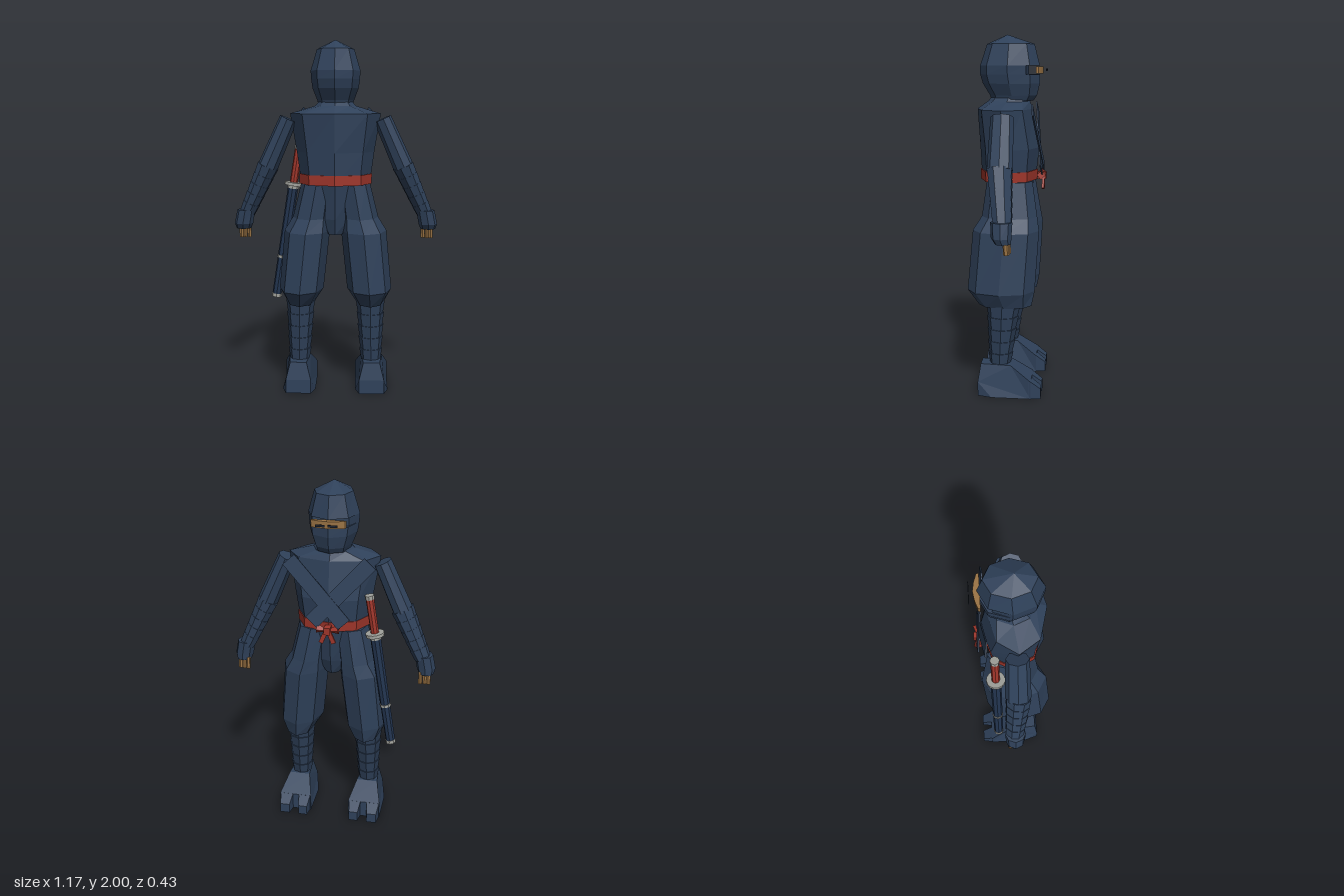
import * as THREE from 'three';

const mat = (name, color) => {
  const m = new THREE.MeshStandardMaterial({ color, flatShading: true });
  m.name = name;
  return m;
};

// Stacked eight-sided rings, bottom to top: [y, centreX, halfWidth, backZ, frontZ]
function loft(rings, clampZ = -Infinity, n = 8) {
  const pos = [], idx = [];
  const put = (x, y, z) => pos.push(x, y, z) / 3 - 1;
  for (const [y, cx, rx, zb, zf] of rings) {
    const mid = (zb + zf) / 2, rz = (zb - zf) / 2;
    for (let i = 0; i < n; i++) {
      const a = (i / n) * Math.PI * 2;
      put(cx + rx * Math.sin(a), y, Math.max(clampZ, mid + rz * Math.cos(a)));
    }
  }
  const last = rings.length - 1;
  const [lo, hi] = [rings[0], rings[last]].map((r) => put(r[1], r[0], (r[3] + Math.max(clampZ, r[4])) / 2));
  for (let i = 0; i < n; i++) {
    const j = (i + 1) % n;
    for (let k = 0; k < last; k++) {
      const a = k * n + i, b = k * n + j;
      idx.push(a, b, b + n, a, b + n, a + n);
    }
    idx.push(j, i, lo, last * n + i, last * n + j, hi);
  }
  const g = new THREE.BufferGeometry();
  g.setAttribute('position', new THREE.Float32BufferAttribute(pos, 3));
  g.setIndex(idx);
  const flat = g.toNonIndexed();
  flat.computeVertexNormals();
  return flat;
}

// Side profile in [z, y], extruded across x and centred on x = 0
function sideExtrude(points, width) {
  const s = new THREE.Shape(points.map((p) => new THREE.Vector2(...p)));
  return new THREE.ExtrudeGeometry(s, { depth: width, bevelEnabled: false })
    .translate(0, 0, -width / 2).rotateY(-Math.PI / 2);
}

export function createModel() {
  const root = new THREE.Group();
  root.name = 'warrior';
  const cloth = mat('navyCloth', 0x2f415a);
  const red = mat('redSash', 0xa0362b);
  const skin = mat('skin', 0x9a7344);
  const steel = mat('steel', 0xa3a49e);
  const lacquer = mat('sheathBlue', 0x22344f);
  const dark = mat('eyeDark', 0x1c2330);

  const add = (name, geo, m, parent = root) => {
    const mesh = new THREE.Mesh(geo, m);
    mesh.name = name;
    parent.add(mesh);
    return mesh;
  };
  const up = new THREE.Vector3(0, 1, 0);
  // Tapered rod from p to q
  const rod = (name, p, q, r1, r2, m, sides = 8, depth = 1, parent = root) => {
    const a = new THREE.Vector3(...p), b = new THREE.Vector3(...q), d = b.clone().sub(a);
    const mesh = add(name, new THREE.CylinderGeometry(r2, r1, d.length(), sides), m, parent);
    mesh.position.copy(a).add(b).multiplyScalar(0.5);
    mesh.quaternion.setFromUnitVectors(up, d.normalize());
    mesh.scale.z = depth;
    return mesh;
  };
  const mix = (p, q, t) => p.map((v, i) => v + (q[i] - v) * t);

  // Hood with an open eye slit
  add('mask', loft([[1.64, 0, 0.095, 0.1, -0.135], [1.67, 0, 0.105, 0.11, -0.155],
    [1.735, 0, 0.13, 0.15, -0.17], [1.785, 0, 0.137, 0.165, -0.17]]), cloth);
  add('hoodBack', loft([[1.785, 0, 0.137, 0.165, -0.17], [1.832, 0, 0.14, 0.165, -0.17]], -0.1), cloth);
  add('hoodTop', loft([[1.832, 0, 0.14, 0.165, -0.17], [1.95, 0, 0.105, 0.125, -0.14],
    [2.0, 0, 0.002, 0.012, 0.008]]), cloth);
  const faceOutline = [[-0.095, 0.155], [0.095, 0.155], [0.09, 0.168], [0.05, 0.182], [0, 0.19], [-0.05, 0.182], [-0.09, 0.168]];
  add('faceStrip', new THREE.ExtrudeGeometry(
    new THREE.Shape(faceOutline.map((p) => new THREE.Vector2(...p))), { depth: 0.038, bevelEnabled: false })
    .rotateX(-Math.PI / 2), skin).position.y = 1.79;

  // Torso and sash
  add('torso', loft([[1.2, 0, 0.195, 0.155, -0.15], [1.38, 0, 0.22, 0.165, -0.17],
    [1.595, 0, 0.255, 0.18, -0.135], [1.637, 0, 0.115, 0.12, -0.115], [1.66, 0, 0.095, 0.1, -0.11]]), cloth);
  add('sash', loft([[1.198, 0, 0.205, 0.163, -0.158], [1.255, 0, 0.207, 0.165, -0.162]]), red);
  add('pelvis', loft([[0.91, 0, 0.05, 0.07, -0.08], [1.0, 0, 0.11, 0.09, -0.11], [1.2, 0, 0.19, 0.12, -0.14]]), cloth);
  add('sashKnot', new THREE.BoxGeometry(0.035, 0.04, 0.05), red).position.set(0, 1.222, -0.185);

  for (const s of [1, -1]) {
    // Eyes
    add('eye', new THREE.BoxGeometry(0.05, 0.012, 0.004), dark).position.set(s * 0.033, 1.81, -0.21);

    // Crossed lapel, lying on the sloping chest
    const lapel = add('lapel', new THREE.BoxGeometry(0.085, 0.46, 0.008), cloth);
    lapel.position.set(s * 0.065, 1.43, -0.164 - (s > 0 ? 0.004 : 0));
    lapel.rotation.set(0.13, 0, -s * 0.74);

    // Bow loops and tails
    const loop = add('bowLoop', new THREE.CylinderGeometry(0.026, 0.01, 0.048, 4), red);
    loop.position.set(s * 0.036, 1.225, -0.185);
    loop.rotation.z = -s * 1.4;
    const tail = add('bowTail', new THREE.BoxGeometry(0.024, 0.07, 0.014), red);
    tail.position.set(s * 0.022, 1.183, -0.194);
    tail.rotation.z = s * 0.4;

    // Arm with wrapped forearm
    const arm = new THREE.Group();
    arm.name = s > 0 ? 'leftArm' : 'rightArm';
    root.add(arm);
    const shoulder = [s * 0.265, 1.565, 0.012], elbow = [s * 0.385, 1.295, 0.01], wrist = [s * 0.51, 1.025, -0.018];
    rod('upperArm', shoulder, elbow, 0.051, 0.058, cloth, 8, 1.2, arm);
    for (let i = 0; i < 5; i++) {
      rod('forearmWrap', mix(elbow, wrist, i / 5 - 0.02), mix(elbow, wrist, (i + 1) / 5),
        0.061 - i * 0.003, 0.055 - i * 0.003, cloth, 8, 1.18, arm);
    }
    add('hand', loft([[0.935, s * 0.532, 0.043, 0.02, -0.065], [0.965, s * 0.53, 0.053, 0.04, -0.066],
      [1.045, s * 0.515, 0.052, 0.045, -0.07]]), cloth, arm);
    for (const [x, z, r] of [[0.503, -0.048, 0.012], [0.527, -0.045, 0.012], [0.548, -0.042, 0.013]]) {
      rod('finger', [s * x, 0.88, z], [s * x, 0.95, z + 0.005], r, r, skin, 6, 1.2, arm);
    }

    // Baggy trouser leg
    const leg = new THREE.Group();
    leg.name = s > 0 ? 'leftLeg' : 'rightLeg';
    root.add(leg);
    add('trouserLeg', loft([[0.51, s * 0.2, 0.08, 0.15, -0.145], [0.595, s * 0.195, 0.127, 0.215, -0.162],
      [0.93, s * 0.162, 0.13, 0.188, -0.182], [1.005, s * 0.14, 0.105, 0.14, -0.17],
      [1.2, s * 0.105, 0.092, 0.115, -0.14]]), cloth, leg);

    // Wrapped shin in overlapping bands
    for (let i = 0; i < 5; i++) {
      const ring = (t, e) => [0.17 + 0.35 * t, s * (0.207 - 0.005 * t), 0.058 + 0.022 * t + e,
        0.09 + 0.014 * t + e, -0.03 - 0.05 * t - e];
      add('shinWrap', loft([ring(i / 5, -0.002), ring((i + 1) / 5, 0.004)]), cloth, leg);
    }

    // Split-toed shoe, narrowed towards the ankle and heel
    const foot = sideExtrude([[0.15, 0], [0.15, 0.08], [0.135, 0.18], [-0.035, 0.18], [-0.15, 0.1],
      [-0.15, 0], [0.07, 0]], 0.19);
    const p = foot.attributes.position;
    for (let i = 0; i < p.count; i++) {
      const y = p.getY(i), z = p.getZ(i);
      let k = y > 0.15 ? 0.65 : 1;
      if (z > 0.1) k *= 0.75;
      p.setX(i, p.getX(i) * k);
    }
    foot.computeVertexNormals();
    add('shoe', foot, cloth, leg).position.x = s * 0.21;
    for (const [x, w] of [[0.155, 0.072], [0.264, 0.078]]) {
      const toe = sideExtrude([[-0.14, 0], [-0.14, 0.107], [-0.205, 0.058], [-0.205, 0]], w);
      const q = toe.attributes.position;
      for (let i = 0; i < q.count; i++) if (q.getZ(i) < -0.2) q.setX(i, q.getX(i) * 0.72);
      toe.computeVertexNormals();
      add('toe', toe, cloth, leg).position.x = s * x;
    }
  }

  // Sheathed sword hanging at the hip
  const sword = new THREE.Group();
  sword.name = 'sword';
  root.add(sword);
  const tip = [-0.355, 0.51, -0.103], pommel = [-0.213, 1.41, -0.103];
  const piece = (name, a, b, r1, r2, m, sides = 8) =>
    rod(name, mix(tip, pommel, a), mix(tip, pommel, b), r1, r2, m, sides, 1, sword);
  piece('sheath', 0.01, 0.735, 0.027, 0.03, lacquer);
  piece('sheathCap', 0, 0.022, 0.03, 0.03, steel);
  piece('sheathRing', 0.262, 0.278, 0.032, 0.032, steel);
  piece('guardCollar', 0.72, 0.74, 0.034, 0.034, steel);
  piece('guard', 0.74, 0.76, 0.052, 0.052, steel, 14);
  piece('grip', 0.76, 0.98, 0.023, 0.023, red);
  piece('pommel', 0.975, 1, 0.026, 0.026, steel);

  return root;
}
